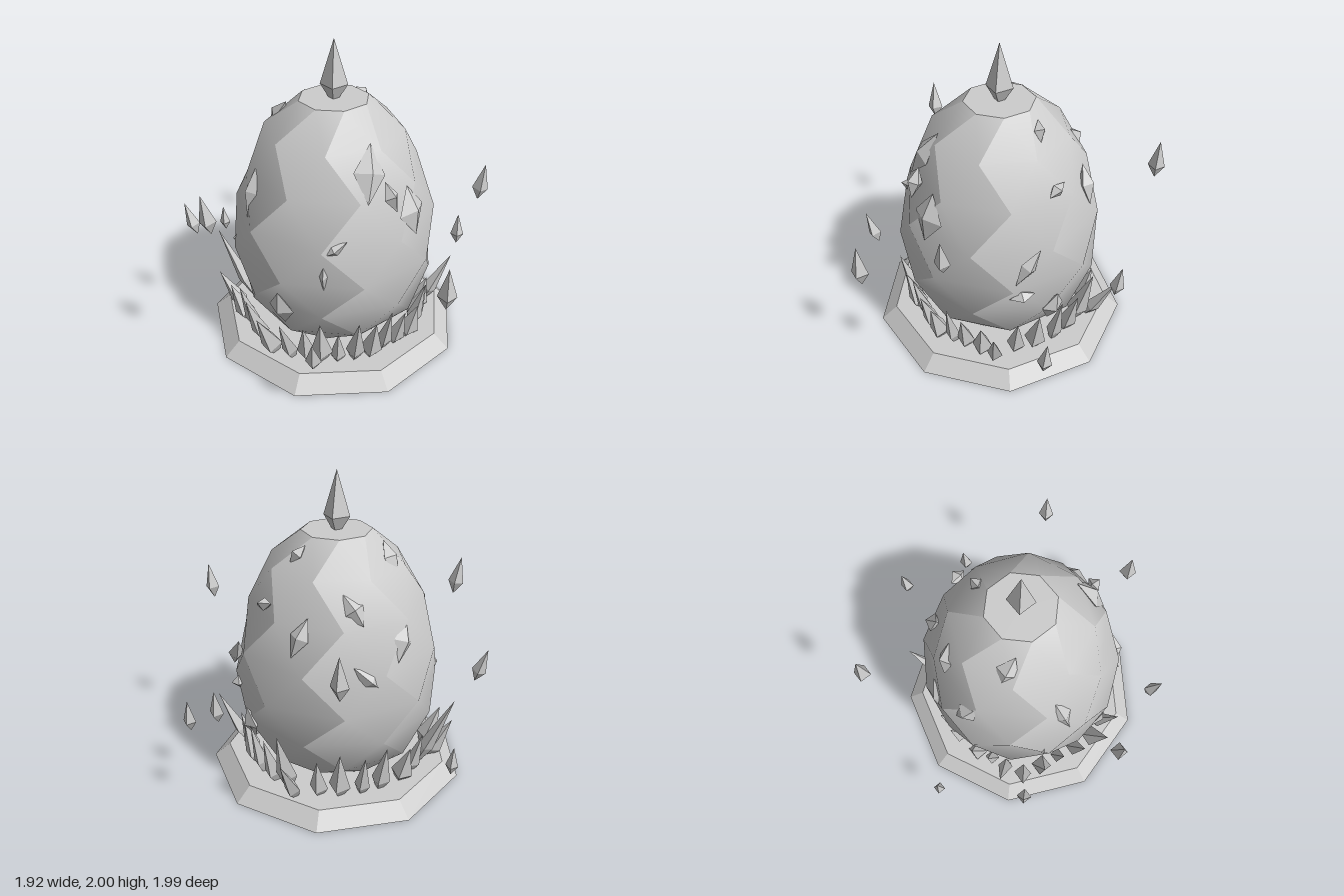
import * as THREE from 'three';
import { mergeGeometries } from 'three/addons/utils/BufferGeometryUtils.js';

const stone = new THREE.MeshStandardMaterial({ color: 0xcccccc });
const UP = new THREE.Vector3(0, 1, 0);
const V = (x, y, z) => new THREE.Vector3(x, y, z);

function flat(geo) {
  const g = geo.toNonIndexed();
  g.computeVertexNormals();
  return g;
}

// Four-sided crystal of unit length along y, widest at the given fraction
function crystalGeometry(waist) {
  const profile = [[0, 0], [1, waist], [0, 1]].map(p => new THREE.Vector2(...p));
  return flat(new THREE.LatheGeometry(profile, 4));
}
const spikeGeo = crystalGeometry(0.33);

function crystal(name, from, to, radius) {
  const mesh = new THREE.Mesh(spikeGeo, stone);
  const dir = to.clone().sub(from);
  mesh.name = name;
  mesh.position.copy(from);
  mesh.scale.set(radius, dir.length(), radius);
  mesh.quaternion.setFromUnitVectors(UP, dir.normalize());
  return mesh;
}

// Egg of eight columns; alternate rows are turned by half a side
function eggGeometry() {
  const rows = [[0.09, 0.38], [0.25, 0.56], [0.46, 0.635], [0.68, 0.66],
    [0.93, 0.64], [1.2, 0.555], [1.45, 0.435], [1.635, 0.22]];
  const columns = [];
  for (let k = 0; k < 8; k++) {
    const pos = [], index = [];
    rows.forEach(([y, r], i) => {
      for (let s = 0; s < 2; s++) {
        const a = (k + s + (i % 2) / 2) * Math.PI / 4;
        pos.push(r * Math.sin(a), y, r * Math.cos(a));
      }
      if (i === rows.length - 1) return;
      const bl = i * 2, br = bl + 1, tl = bl + 2, tr = bl + 3;
      if (i % 2) index.push(bl, br, tr, bl, tr, tl);
      else index.push(bl, br, tl, br, tr, tl);
    });
    const g = new THREE.BufferGeometry();
    g.setAttribute('position', new THREE.Float32BufferAttribute(pos, 3));
    g.setIndex(index);
    g.computeVertexNormals();
    columns.push(g);
  }
  return mergeGeometries(columns);
}

export function createModel() {
  const model = new THREE.Group();
  const add = (name, geo) => {
    const mesh = new THREE.Mesh(geo, stone);
    mesh.name = name;
    model.add(mesh);
    return mesh;
  };

  // Nine-sided plinth
  add('base', flat(new THREE.CylinderGeometry(0.74, 0.843, 0.09, 9, 1, false, -Math.PI / 2)))
    .position.y = 0.045;

  // Egg and its flat top
  add('egg', eggGeometry());
  const cap = add('eggTop', new THREE.CircleGeometry(0.22, 8, Math.PI / 8));
  cap.rotation.x = -Math.PI / 2;
  cap.position.y = 1.635;

  model.add(crystal('topCrystal', V(0, 1.58, 0), V(0, 2, 0), 0.085));

  // Floating shards: x, z, bottom y, top y, lean in x, lean in z
  const floating = new THREE.Group();
  floating.name = 'floatingShards';
  [
    [0.915, 0.07, 1.03, 1.27, 0.03, 0], [0.73, 0.68, 0.63, 0.92, 0, 0.01],
    [0.84, -0.51, 0.32, 0.55, 0, -0.02], [0.45, -0.85, 0.67, 0.89, 0, -0.03],
    [-0.33, -0.95, 1.02, 1.29, 0, -0.01], [-0.87, -0.46, 0.34, 0.53, -0.01, 0],
    [-0.925, 0.12, 0.67, 0.9, -0.07, 0], [-0.65, 0.66, 1.03, 1.29, -0.04, 0.02],
    [-0.01, 0.945, 0.31, 0.55, 0, 0.08],
  ].forEach(([x, z, y0, y1, lx, lz]) => floating.add(crystal('floatingShard',
    V(x - lx / 2, y0, z - lz / 2), V(x + lx / 2, y1, z + lz / 2), (y1 - y0) * 0.2)));
  model.add(floating);

  // Crystals growing round the egg: tip x, y, z and foot radius
  const ring = new THREE.Group();
  ring.name = 'baseCrystals';
  [
    [-0.8, 0.6, -0.05, 0.55], [-0.77, 0.36, 0.1, 0.6], [-0.66, 0.36, 0.24, 0.58],
    [-0.57, 0.44, 0.36, 0.56], [-0.5, 0.44, 0.5, 0.56], [-0.4, 0.42, 0.65, 0.58],
    [-0.25, 0.44, 0.71, 0.57], [-0.12, 0.35, 0.62, 0.55], [-0.01, 0.42, 0.65, 0.55],
    [0.1, 0.33, 0.62, 0.55], [0.23, 0.44, 0.64, 0.55], [0.33, 0.38, 0.56, 0.55],
    [0.42, 0.42, 0.48, 0.53], [0.5, 0.36, 0.4, 0.53], [0.58, 0.35, 0.3, 0.55],
    [0.62, 0.43, 0.18, 0.55], [0.63, 0.36, 0.08, 0.53], [0.63, 0.32, -0.05, 0.55],
    [0.79, 0.43, -0.18, 0.6], [0.58, 0.38, -0.28, 0.55], [0.5, 0.4, -0.4, 0.55],
    [0.4, 0.46, -0.52, 0.56], [0.28, 0.42, -0.6, 0.55], [0.16, 0.52, -0.67, 0.55],
    [0.08, 0.42, -0.82, 0.6], [-0.08, 0.36, -0.63, 0.55], [-0.22, 0.42, -0.6, 0.55],
    [-0.36, 0.38, -0.53, 0.55], [-0.47, 0.42, -0.44, 0.55], [-0.58, 0.34, -0.28, 0.55],
    [-0.63, 0.38, -0.16, 0.55],
  ].forEach(([x, y, z, foot], i) => {
    const s = foot / Math.hypot(x, z);
    ring.add(crystal('baseCrystal', V(x * s, 0.03, z * s), V(x, y, z), 0.05 + (i % 3) * 0.01));
  });
  model.add(ring);

  // Shards set into the shell: centre x, y, z, length, half width, roll
  const shardGeo = crystalGeometry(0.5).translate(0, -0.5, 0);
  const shards = new THREE.Group();
  shards.name = 'shellShards';
  [
    [0.25, 1.34, 0.4, 0.36, 0.1, 0.25], [0.5, 1.06, 0.3, 0.32, 0.12, 0],
    [-0.46, 1.12, 0.3, 0.36, 0.06, -0.2], [-0.26, 0.46, 0.56, 0.28, 0.09, 0],
    [0.07, 0.94, 0.6, 0.18, 0.04, 1], [0.01, 0.76, 0.61, 0.22, 0.03, 0],
    [-0.35, 1.5, -0.04, 0.24, 0.07, 0.3], [0.15, 1.55, -0.28, 0.14, 0.04, 0.4],
    [0.38, 1.21, 0.42, 0.2, 0.05, -0.2], [0.56, 0.86, -0.33, 0.28, 0.05, 0.6],
    [0.57, 0.63, -0.3, 0.16, 0.04, 1.4], [0.31, 1.27, -0.43, 0.14, 0.04, 1.2],
    [0.04, 1.15, -0.56, 0.26, 0.06, 0.3], [-0.5, 1.08, -0.28, 0.26, 0.07, 0.5],
    [-0.36, 0.9, -0.48, 0.26, 0.06, -0.8], [0.42, 0.45, -0.46, 0.26, 0.08, 0.1],
    [-0.24, 1.3, -0.42, 0.22, 0.07, -0.5], [-0.58, 0.72, 0.2, 0.16, 0.04, 0.3],
  ].forEach(([x, y, z, length, width, roll]) => {
    const normal = V(x, 0, z).normalize();
    normal.y = (y - 0.75) * 0.9;
    normal.normalize();
    const side = UP.clone().cross(normal).normalize();
    const axis = normal.clone().cross(side);
    const mesh = new THREE.Mesh(shardGeo, stone);
    mesh.name = 'shellShard';
    mesh.quaternion.setFromRotationMatrix(new THREE.Matrix4().makeBasis(side, axis, normal));
    mesh.rotateZ(-roll);
    mesh.position.set(x, y, z);
    mesh.scale.set(width, length, 0.05);
    shards.add(mesh);
  });
  model.add(shards);

  return model;
}
